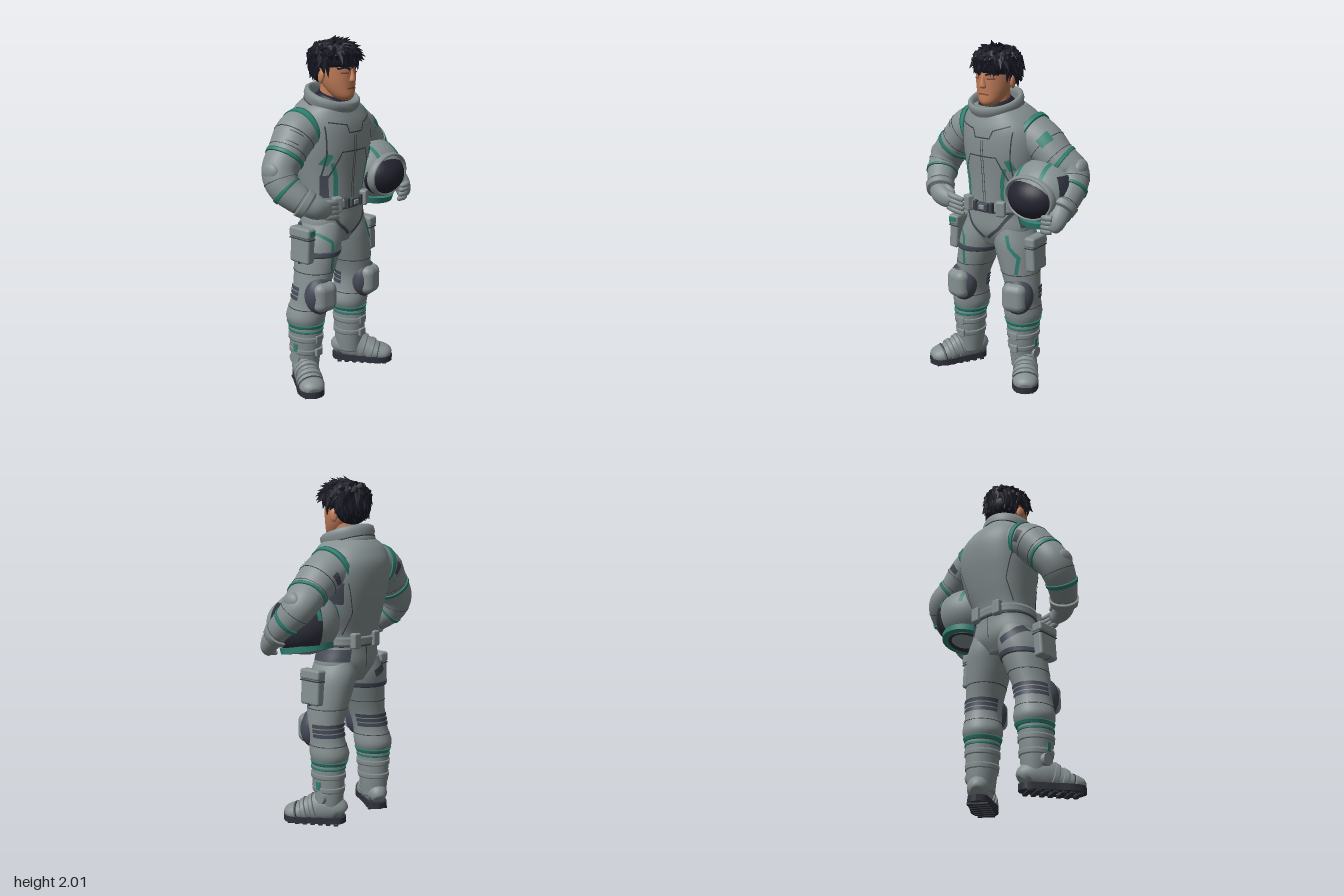
import * as THREE from 'three';
import { mergeGeometries } from 'three/addons/utils/BufferGeometryUtils.js';
import { RoundedBoxGeometry } from 'three/addons/geometries/RoundedBoxGeometry.js';

const V = (x, y, z) => new THREE.Vector3(x, y, z);
const paint = (name, color) => Object.assign(new THREE.MeshStandardMaterial({ color }), { name });
const RAD = Math.PI / 180;

// A rail is a smooth path of elliptical sections [x, y, z, radiusA, radiusB]
function rail(st, { flat = false, sq = 1, ref = V(0, 0, 1) } = {}) {
  const c = new THREE.CatmullRomCurve3(st.map(s => V(s[0], s[1], s[2])), false, 'catmullrom', 0.5);
  const r = new THREE.CatmullRomCurve3(st.map(s => V(s[3], s[4], 0)), false, 'catmullrom', 0.5);
  const pw = v => Math.sign(v) * Math.abs(v) ** sq;
  const at = (t, deg, grow = 0) => {
    const d = flat ? V(0, 1, 0) : c.getTangent(t);
    const b = ref.clone().addScaledVector(d, -ref.dot(d)).normalize();
    const a = d.clone().cross(b), q = r.getPoint(t);
    return c.getPoint(t).addScaledVector(a, (q.x + grow) * pw(Math.cos(deg * RAD)))
      .addScaledVector(b, (q.y + grow) * pw(Math.sin(deg * RAD)));
  };
  const tAtY = y => {
    let lo = 0, hi = 1;
    for (let i = 0; i < 24; i++) { const m = (lo + hi) / 2; c.getPoint(m).y < y ? lo = m : hi = m; }
    return lo;
  };
  // point on the front (side 1) or back (side -1) at a given x and y
  const face = (x, y, side = 1, grow = 0.004) => {
    const t = tAtY(y), q = r.getPoint(t), k = THREE.MathUtils.clamp((x - c.getPoint(t).x) / q.x, -0.98, 0.98);
    return at(t, side * Math.acos(Math.sign(k) * Math.abs(k) ** (1 / sq)) / RAD, grow);
  };
  return { at, c, tAtY, face };
}

function grid(pos, idx) {
  const g = new THREE.BufferGeometry();
  g.setAttribute('position', new THREE.Float32BufferAttribute(pos.flatMap(p => p.toArray()), 3));
  g.setIndex(idx);
  g.computeVertexNormals();
  return g;
}

// Surface of a rail between two stations and two angles; full turns get end caps
function skinOf(rl, { t0 = 0, t1 = 1, a0 = 0, a1 = 360, grow = 0, n = 32, m = 32 } = {}) {
  const pos = [], idx = [], full = a1 - a0 === 360, w = full ? m : m + 1;
  for (let i = 0; i <= n; i++) for (let j = 0; j < w; j++)
    pos.push(rl.at(t0 + (t1 - t0) * i / n, a0 + (a1 - a0) * j / m, grow));
  for (let i = 0; i < n; i++) for (let j = 0; j < m; j++) {
    const A = i * w + j, B = i * w + (j + 1) % w;
    idx.push(A, A + w, B, B, A + w, B + w);
  }
  if (full) {
    const s = pos.push(rl.c.getPoint(t0)) - 1, e = pos.push(rl.c.getPoint(t1)) - 1;
    for (let j = 0; j < m; j++) {
      const k = (j + 1) % m;
      idx.push(s, j, k, e, n * w + k, n * w + j);
    }
  }
  return grid(pos, idx);
}

// Flat ribbon laid on a rail along [x, y] points
function ribbon(rl, pts, width, side = 1) {
  const pos = [], idx = [], p = [];
  pts.slice(1).forEach((b, i) => {
    for (let k = i ? 1 : 0; k <= 8; k++) p.push([0, 1].map(d => pts[i][d] + (b[d] - pts[i][d]) * k / 8));
  });
  p.forEach(([x, y], i) => {
    const a = p[Math.max(0, i - 1)], b = p[Math.min(p.length - 1, i + 1)];
    const l = Math.hypot(b[0] - a[0], b[1] - a[1]), nx = -(b[1] - a[1]) / l * width / 2, ny = (b[0] - a[0]) / l * width / 2;
    pos.push(rl.face(x + nx, y + ny, side), rl.face(x - nx, y - ny, side));
    if (i) {
      const L = 2 * i - 2, R = L + 1;
      idx.push(...(side > 0 ? [R, R + 2, L, L, R + 2, L + 2] : [R, L, R + 2, L, L + 2, R + 2]));
    }
  });
  return grid(pos, idx);
}

export function createModel() {
  const model = new THREE.Group();
  const suit = paint('suit grey', 0x858f90), teal = paint('teal trim', 0x2f8072), dark = paint('dark fabric', 0x454a57);
  const seam = paint('seam', 0x3c4147), sole = paint('sole', 0x2f313c), glass = paint('visor', 0x232430);
  const hairM = paint('hair', 0x171824), skin = paint('skin', 0xc17d59), shade = paint('lips and lids', 0x82493a);
  const add = (name, geo, mat, p = [0, 0, 0], rot = [0, 0, 0], s = [1, 1, 1], parent = model) => {
    const m = new THREE.Mesh(geo, mat);
    m.name = name; m.position.set(...p); m.rotation.set(...rot); m.scale.set(...s);
    parent.add(m);
  };
  const ball = new THREE.SphereGeometry(1, 32, 24);
  const box = (name, w, h, d, mat, p, rot, parent) =>
    add(name, new RoundedBoxGeometry(w, h, d, 3, Math.min(w, h, d) * 0.25), mat, p, rot, undefined, parent);
  const band = (name, rl, t0, t1, mat, grow = 0.006, a0, a1) => add(name, skinOf(rl, { t0, t1, grow, n: 4, a0, a1 }), mat);
  const bandY = (name, rl, y0, y1, mat, grow, a0, a1) => band(name, rl, rl.tAtY(y0), rl.tAtY(y1), mat, grow, a0, a1);

  // Torso
  const torso = rail([[-.03, .84, 0, .1, .1], [-.025, .93, 0, .205, .145], [-.03, 1.04, 0, .185, .148], [-.03, 1.12, -.005, .182, .152],
    [-.015, 1.25, -.02, .215, .175], [-.01, 1.4, -.03, .242, .2], [-.015, 1.52, -.035, .24, .202], [-.03, 1.6, -.03, .2, .175],
    [-.04, 1.65, -.02, .14, .145]], { flat: true, sq: 0.88 });
  add('torso', skinOf(torso, { n: 48, m: 48 }), suit);
  for (const s of [1, -1]) {
    const X = x => -.03 + s * x;
    add('side stripe', ribbon(torso, [[X(.11), 1.11], [X(.115), 1.24], [X(.135), 1.32]], .022), teal);
    add('side webbing', ribbon(torso, [[X(.155), 1.12], [X(.165), 1.25]], .03), dark);
    add('side seam', ribbon(torso, [[X(.175), 1.25], [X(.165), 1.36], [X(.175), 1.53]], .006), seam);
    add('chest patch', ribbon(torso, [[X(.175), 1.31], [X(.15), 1.37]], .035), teal);
    add('harness strap', ribbon(torso, [[X(.15), 1.05], [X(.09), .96], [X(.01), .89]], .018), dark);
    add('back seam', ribbon(torso, [[X(.15), 1.12], [X(.14), 1.25], [X(.19), 1.42]], .004, -1), seam);
    add('zip seam', ribbon(torso, [[X(.007), 1.11], [X(.007), 1.47]], .004), seam);
  }
  add('yoke seam', ribbon(torso, [[-.19, 1.55], [-.09, 1.53], [-.075, 1.485], [.02, 1.485], [.04, 1.53], [.13, 1.56]], .007), seam);
  add('belly seam', ribbon(torso, [[-.18, 1.24], [-.12, 1.38], [.06, 1.38], [.12, 1.25]], .007), seam);
  add('spine seam', ribbon(torso, [[-.03, .92], [-.03, 1.06]], .005, -1), seam);
  bandY('hip patch', torso, .965, 1.035, dark, .004, 300, 385);
  bandY('underarm patch', torso, 1.3, 1.42, dark, .004, 318, 350);

  // Belt
  bandY('belt', torso, 1.055, 1.105, suit, .01);
  bandY('belt edge', torso, 1.048, 1.056, seam, .006);
  box('buckle', .075, .05, .03, dark, [-.03, 1.085, .165]);
  box('buckle plate', .04, .03, .03, suit, [-.03, 1.085, .172]);
  for (const s of [1, -1]) box('belt loop', .022, .06, .03, seam, [-.03 + s * .055, 1.085, .16]);
  for (const [x, z, r] of [[-.15, .14, -.4], [.08, .145, .4], [-.1, -.148, 0], [.06, -.148, 0]])
    box('belt pouch', .055, .09, .045, suit, [x, 1.085, z], [0, r, 0]);

  // Collar and neck
  const collar = new THREE.Group();
  collar.name = 'collar'; collar.position.set(-.045, 1.6, -.01); collar.rotation.x = .31;
  model.add(collar);
  const profile = [[.14, -.02], [.158, .01], [.15, .03], [.152, .04], [.16, .065], [.158, .09], [.146, .1], [.132, .095], [.125, .07], [.12, .02]];
  add('collar ring', new THREE.LatheGeometry(profile.map(p => new THREE.Vector2(...p)), 48), suit, undefined, undefined, undefined, collar);
  add('collar groove', new THREE.TorusGeometry(.151, .004, 6, 48), seam, [0, .033, 0], [Math.PI / 2, 0, 0], undefined, collar);
  add('inner collar', new THREE.CylinderGeometry(.09, .125, .06, 32), glass, [.005, .06, .01], undefined, undefined, collar);
  add('neck', new THREE.CylinderGeometry(.07, .075, .16, 24), skin, [-.035, 1.7, .01], [.15, 0, 0]);

  // Head
  const hx = -.035;
  const head = rail([[hx, 1.655, .095, .03, .035], [hx, 1.68, .08, .06, .068], [hx, 1.73, .055, .086, .093], [hx, 1.79, .035, .1, .115],
    [hx, 1.86, .025, .104, .124], [hx, 1.91, .015, .09, .105], [hx, 1.945, .01, .05, .06]], { flat: true });
  add('head', skinOf(head), skin);
  add('nose', skinOf(rail([[hx, 1.758, .145, .014, .014], [hx, 1.768, .15, .02, .021], [hx, 1.8, .147, .012, .017], [hx, 1.835, .14, .009, .012]], { flat: true }), { n: 12, m: 16 }), skin);
  add('mouth', ribbon(head, [[hx - .032, 1.722], [hx, 1.726], [hx + .032, 1.722]], .008), shade);
  for (const s of [1, -1]) {
    add('ear', ball, skin, [hx + s * .104, 1.785, .015], [.15, s * .3, 0], [.014, .037, .024]);
    add('eye', ribbon(head, [[hx + s * .025, 1.808], [hx + s * .065, 1.81]], .008), shade);
    add('eyebrow', ribbon(head, [[hx + s * .018, 1.83], [hx + s * .05, 1.84], [hx + s * .078, 1.832]], .01), hairM);
  }

  // Hair: a cap with pointed locks
  let seed = 7;
  const rnd = () => (seed = (seed * 16807) % 2147483647) / 2147483647;
  const locks = [ball.clone().scale(.122, .095, .146).translate(-.032, 1.88, .018), ball.clone().scale(.112, .1, .1).translate(-.032, 1.83, -.033)];
  const lock = (p, dir, r, len) => {
    const g = new THREE.ConeGeometry(r, len, 6);
    g.applyQuaternion(new THREE.Quaternion().setFromUnitVectors(V(0, 1, 0), dir.normalize()));
    locks.push(g.translate(p.x + dir.x * len * .3, p.y + dir.y * len * .3, p.z + dir.z * len * .3));
  };
  for (let i = 0; i < 190; i++) {
    const y = 1 - 1.65 * i / 190, q = Math.sqrt(1 - y * y), n = V(q * Math.cos(i * 2.4), y, q * Math.sin(i * 2.4));
    if (y < .25 && n.z > (y < -.1 ? -.2 : .3)) continue;
    const dir = n.clone().multiplyScalar(.2).add(V((rnd() - .5) * .5, -.7 * (1 - y), .3 * y + (rnd() - .5) * .3));
    lock(V(-.032 + n.x * .119, 1.876 + y * (y < 0 ? .12 : .09), .016 + n.z * .14), dir, .02 + rnd() * .01, .065 + rnd() * .025);
  }
  for (let i = 0; i < 11; i++)
    lock(V(hx - .1 + i * .02, 1.895, .16 - .003 * (i - 5) ** 2), V((rnd() - .5) * .5, -1, .05), .022, .06 + rnd() * .045);
  for (const s of [1, -1]) for (const z of [.03, .06]) lock(V(hx + s * .102, 1.85, z), V(0, -1, .1), .022, .085);
  add('hair', mergeGeometries(locks), hairM);

  // Arms
  const arms = {
    right: rail([[-.17, 1.5, -.05, .13, .13], [-.27, 1.475, -.05, .122, .125], [-.355, 1.39, -.04, .105, .11], [-.425, 1.3, -.03, .1, .1],
      [-.437, 1.22, .01, .09, .092], [-.405, 1.16, .075, .08, .08], [-.365, 1.115, .13, .068, .07]]),
    left: rail([[.13, 1.5, -.05, .13, .135], [.235, 1.45, -.05, .118, .125], [.325, 1.375, -.05, .102, .115], [.41, 1.31, -.065, .092, .104],
      [.44, 1.245, -.03, .085, .09], [.448, 1.18, .04, .075, .08], [.445, 1.125, .1, .062, .064]]),
  };
  for (const [side, arm] of Object.entries(arms)) {
    const isLeft = side === 'left', out = isLeft ? 180 : 0, t = isLeft ? .02 : .08;
    add(side + ' arm', skinOf(arm, { n: 48 }), suit);
    band('shoulder stripe', arm, t, t + .045, teal, isLeft ? .009 : .006);
    band('shoulder back patch', arm, .14, .19, dark, .004, 255, 290);
    band('upper arm band', arm, .37, .4, teal);
    band('forearm band', arm, .7, .73, teal);
    band('cuff', arm, .9, .99, suit, .01);
    for (const u of [.21, .33, .6, .88]) band('sleeve seam', arm, u, u + .004, seam, .002);
    if (isLeft) band('shoulder badge', arm, .17, .24, teal, .004, 110, 150);
    else for (const u of [.23, .3]) band('shoulder badge edge', arm, u, u + .006, seam, .004, 25, 65);
    add('elbow pad', ball, suit, arm.at(.53, out, -.03).toArray(), undefined, [.036, .055, .06]);
  }

  // Gloves
  function glove(name, palm, first, tip, step) {
    add(name + ' palm', skinOf(rail(palm), { n: 16, m: 20 }), suit);
    for (let i = 0; i < 4; i++) {
      const a = V(...first).addScaledVector(step, i), b = V(...tip).addScaledVector(step, i), m = a.clone().lerp(b, .5).add(V(0, .004, .012));
      add(name + ' finger', skinOf(rail([[...a, .017, .017], [...m, .018, .018], [...b, .014, .014], [...b.clone().lerp(m, -.2), .004, .004]], { ref: V(0, .9, .44) }), { n: 10, m: 12 }), suit);
    }
  }
  glove('right glove', [[-.375, 1.125, .12, .062, .062], [-.34, 1.105, .15, .062, .056], [-.29, 1.09, .165, .055, .042], [-.25, 1.08, .165, .04, .03]],
    [-.28, 1.125, .17], [-.18, 1.1, .165], V(.002, -.027, 0));
  glove('left glove', [[.445, 1.14, .09, .06, .06], [.447, 1.1, .13, .058, .055], [.44, 1.06, .155, .052, .045], [.43, 1.03, .16, .035, .03]],
    [.445, 1.105, .185], [.385, 1.1, .185], V(-.004, -.027, -.004));
  add('right thumb', ball, suit, [-.29, 1.14, .14], [0, 0, -.5], [.045, .02, .02]);

  // Helmet held under the left arm
  const helmet = new THREE.Group();
  helmet.name = 'helmet'; helmet.position.set(.29, 1.2, .02);
  model.add(helmet);
  const inH = (name, geo, mat, p, rot, s) => add(name, geo, mat, p, rot, s, helmet);
  const shell = [.195, .182, .192];
  inH('helmet shell', ball, suit, [0, 0, 0], [0, 0, 0], shell);
  inH('visor', ball, glass, [-.01, -.015, .075], [.08, 0, 0], [.16, .13, .145]);
  inH('visor rim', new THREE.TorusGeometry(1, .085, 12, 48), suit, [-.01, -.013, .137], [.08, 0, 0], [.15, .12, .32]);
  inH('helmet rear panel', new THREE.SphereGeometry(1.02, 24, 16, 2.55, 1.9, .9, 1.5), sole, [0, 0, 0], [0, 0, 0], shell);
  for (const a of [1.18, 2]) // two bands running front to back over the crown
    inH('helmet stripe', new THREE.SphereGeometry(1.025, 24, 4, -1.4, 2.4, a, .12), teal, [0, 0, 0], [0, 0, -Math.PI / 2], [.182, .195, .192]);
  inH('neck ring', new THREE.CylinderGeometry(.152, .148, .035, 48), teal, [0, -.145, -.012], [.18, 0, 0]);
  inH('neck opening', new THREE.CylinderGeometry(.11, .11, .006, 40), sole, [0, -.163, -.016], [.18, 0, 0]);

  // Legs, from ankle to hip
  const profileY = [[.36, -.01, .092, .1], [.42, -.012, .112, .118], [.5, 0, .1, .112], [.58, .01, .1, .112], [.66, .01, .107, .12],
    [.78, .005, .122, .135], [.88, 0, .125, .143], [.98, 0, .105, .13]];
  const footRail = rail([[0, .06, -.11, .035, .035], [0, .09, -.08, .06, .07], [0, .1, 0, .07, .09], [0, .085, .07, .067, .075],
    [0, .066, .14, .071, .056], [0, .056, .2, .06, .04], [0, .045, .228, .03, .02]], { ref: V(0, 1, 0) });
  const outline = new THREE.Shape();
  outline.moveTo(0, .132);
  outline.splineThru([[.05, .105], [.064, .02], [.07, -.07], [.078, -.15], [.055, -.215], [0, -.24], [-.055, -.215], [-.078, -.15], [-.07, -.07], [-.064, .02], [-.05, .105], [0, .132]].map(p => new THREE.Vector2(...p)));
  const soleGeo = new THREE.ExtrudeGeometry(outline, { depth: .036, bevelEnabled: false, curveSegments: 4 }).rotateX(-Math.PI / 2).translate(0, .012, 0);
  const build = (side, s, xs, ankle) => {
    const leg = rail(profileY.map(([y, z, a, b], i) => [xs[i], y, z, a, b]), { flat: true });
    add(side + ' leg', skinOf(leg, { n: 40 }), suit);
    bandY('calf band', leg, .361, .383, teal, .007);
    for (const y of [.475, .69]) bandY('trouser seam', leg, y, y + .004, seam, .002);
    for (const y of [.53, .558, .586]) bandY('knee strap', leg, y, y + .022, dark, .006, 180, 360);
    // knee pad
    const kx = xs[3] + s * .012;
    add('knee pad backing', ball, dark, [kx, .56, .085], [0, s * .2, 0], [.094, .118, .078]);
    add('knee pad', new RoundedBoxGeometry(.145, .175, .1, 6, .048), suit, [kx + s * .004, .56, .125], [0, s * .2, 0]);
    // boot
    const boot = rail([[ankle, .08, -.012, .068, .08], [ankle, .17, -.012, .08, .09], [ankle, .26, -.008, .087, .1], [ankle, .37, -.008, .094, .104]], { flat: true });
    add(side + ' boot shaft', skinOf(boot), suit);
    bandY('boot trim', boot, .335, .348, teal, .004);
    for (const y of [.2, .28]) {
      bandY('boot strap', boot, y, y + .03, suit, .006);
      box('boot clasp', .05, .045, .02, suit, [ankle, y + .015, .092]);
    }
    add('ankle disc', new THREE.CylinderGeometry(.035, .04, .02, 24), suit, [ankle + s * .08, .17, -.02], [0, 0, -s * Math.PI / 2]);
    box('boot tab', .012, .05, .03, teal, [ankle + s * .085, .24, -.01]);
    const foot = new THREE.Group();
    foot.name = side + ' foot'; foot.position.set(ankle + s * .025, 0, .005); foot.rotation.y = s * .58;
    model.add(foot);
    const onFoot = (name, geo, mat) => add(name, geo, mat, undefined, undefined, undefined, foot);
    onFoot('foot upper', skinOf(footRail), suit);
    onFoot('toe cap', skinOf(footRail, { t0: .72, t1: 1, grow: .006, n: 12 }), suit);
    for (const t of [.44, .56]) onFoot('foot strap', skinOf(footRail, { t0: t, t1: t + .07, grow: .007, n: 4 }), suit);
    onFoot('foot seam', skinOf(footRail, { t0: .7, t1: .712, grow: .005, n: 2 }), seam);
    onFoot('sole', soleGeo, sole);
    for (let i = 0; i < 7; i++) box('tread', i > 5 ? .1 : .12, .016, .026, sole, [0, .008, -.08 + i * .046], undefined, foot);
    return leg;
  };
  const rightLeg = build('right', -1, [-.25, -.248, -.238, -.225, -.205, -.172, -.145, -.12], -.255);
  const leftLeg = build('left', 1, [.133, .132, .14, .145, .133, .107, .085, .06], .137);

  // Thigh trim, strap and pouches
  add('right thigh stripe', ribbon(rightLeg, [[-.24, .92], [-.185, .87], [-.19, .7]], .018), teal);
  add('left thigh stripe', ribbon(leftLeg, [[.11, .93], [.13, .86], [.18, .8], [.17, .7]], .018), teal);
  bandY('thigh strap', rightLeg, .785, .815, dark, .007);
  add('seat patch', ribbon(rightLeg, [[-.235, .95], [-.19, .9], [-.12, .87]], .045, -1), dark);
  for (const [x, y, s] of [[.235, .82, 1], [-.305, .86, -1]]) {
    box('thigh pouch', .06, .2, .14, suit, [x, y, .02], [0, 0, s * .06]);
    box('pouch flap', .068, .06, .15, suit, [x, y + .075, .02], [0, 0, s * .06]);
    box('pouch line', .063, .008, .143, seam, [x, y + .04, .02], [0, 0, s * .06]);
    box('pouch divider', .063, .15, .006, seam, [x, y - .03, .02], [0, 0, s * .06]);
  }
  box('holster tab', .045, .03, .01, teal, [-.305, .94, .096]);
  return model;
}
